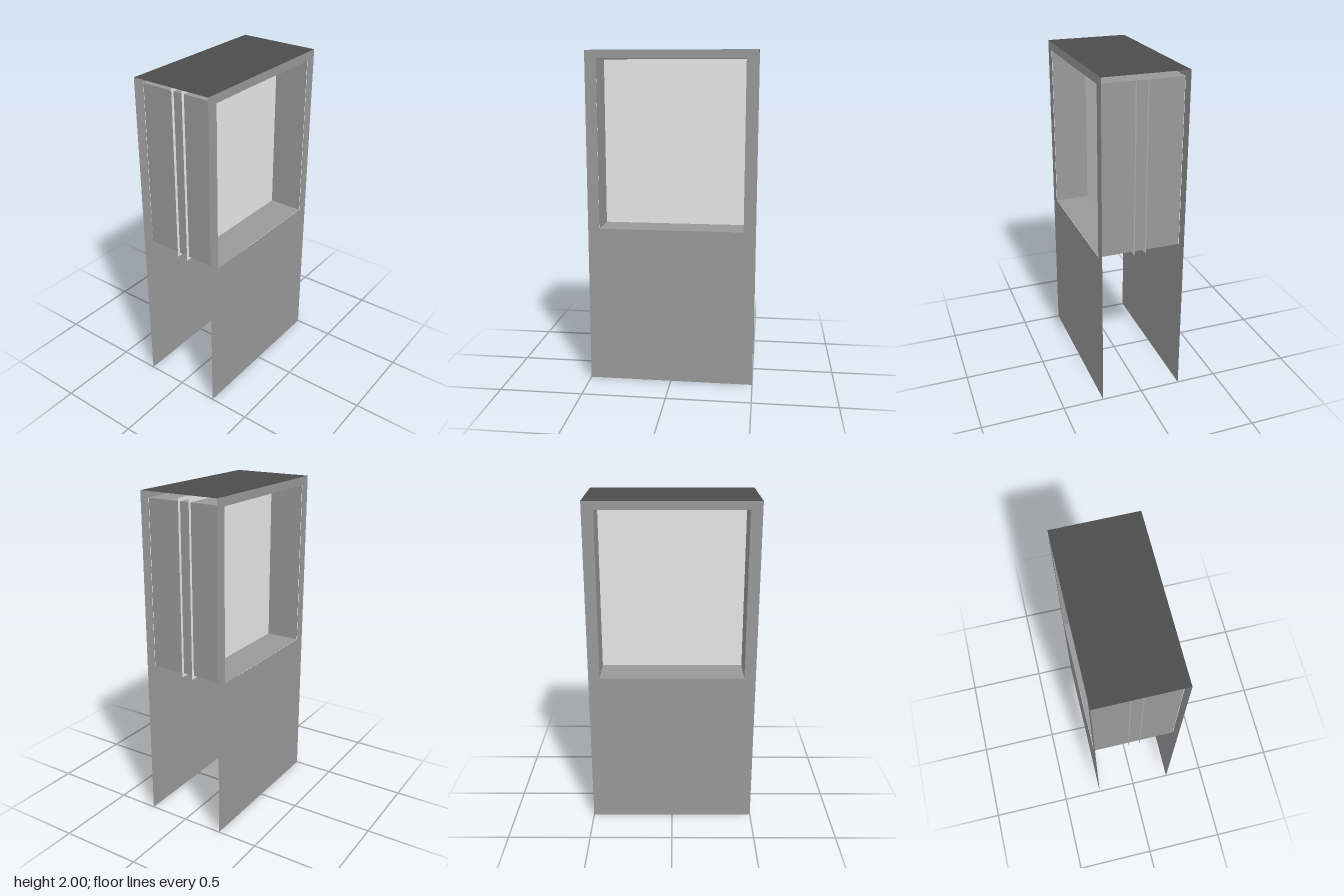
import * as THREE from 'three';

export function createModel() {
  const model = new THREE.Group();
  const paint = (name, color) =>
    new THREE.MeshStandardMaterial({ name, color, side: THREE.DoubleSide });
  const midGrey = paint('midGrey', 0x999999);
  const darkGrey = paint('darkGrey', 0x4c4c4c);
  const white = paint('white', 0xffffff);

  const W = 0.25, D = 0.5, H = 2;            // half width, half depth, height
  const holeD = 0.432, y0 = 0.95, y1 = 1.95; // window opening
  const midY = (y0 + y1) / 2;

  const add = (name, geometry, material, x, y, z) => {
    const mesh = new THREE.Mesh(geometry, material);
    mesh.name = name;
    mesh.position.set(x, y, z);
    model.add(mesh);
  };

  // Side sheet with a rectangular window
  const sheet = new THREE.Shape([[-D, 0], [D, 0], [D, H], [-D, H]].map(p => new THREE.Vector2(...p)));
  sheet.holes.push(new THREE.Path(
    [[-holeD, y0], [-holeD, y1], [holeD, y1], [holeD, y0]].map(p => new THREE.Vector2(...p))));

  for (const s of [1, -1]) {
    const side = s > 0 ? 'left' : 'right';
    add(side + 'SideSheet', new THREE.ShapeGeometry(sheet).rotateY(s * Math.PI / 2), midGrey, s * W, 0, 0);

    // Backing panels stand slightly proud of the window box
    add(side + 'BackingPanel', new THREE.PlaneGeometry(0.9, 1.04).rotateY(s * Math.PI / 2),
      white, s * 0.035, midY, 0);

    // Window box end walls
    add(s > 0 ? 'frontEndWall' : 'backEndWall',
      new THREE.PlaneGeometry(2 * W - 0.004, y1 - y0).rotateY(s > 0 ? 0 : Math.PI),
      midGrey, 0, midY, s * holeD);

    // Window box ceiling and floor
    add(s > 0 ? 'boxCeiling' : 'boxFloor',
      new THREE.PlaneGeometry(2 * W - 0.004, 2 * holeD).rotateX(-s * Math.PI / 2),
      midGrey, 0, s > 0 ? y1 : y0, 0);
  }

  // Top cover
  add('topCover', new THREE.PlaneGeometry(2 * W, 2 * D).rotateX(-Math.PI / 2), darkGrey, 0, H, 0);
  return model;
}
